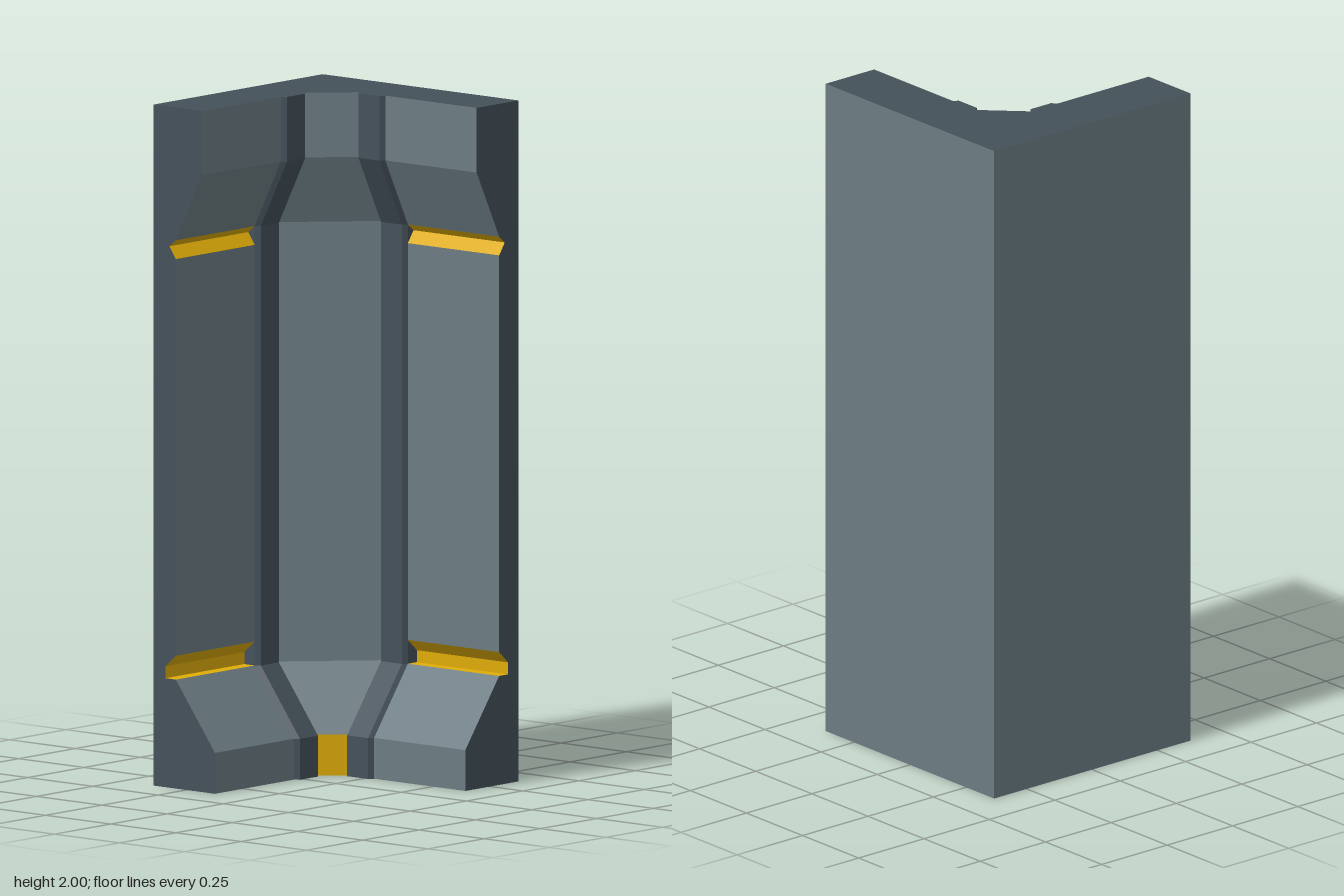
import * as THREE from 'three';

const H = 0.375, TOP = 2, RAISE = 0.015;

// Wall profiles: [depth from the room axis, height, accent flag for the segment ending here]
const plainProfile = [[0.14, 0], [0.14, 0.12], [0.29, 0.32], [0.29, 1.61], [0.19, 1.81], [0.19, TOP]];
const cornerProfile = plainProfile.map(([d, y], i) => [d, y, i === 1]);
const lowerGroove = [[0.29, 0.32], [0.33, 0.32, true], [0.33, 0.355, true], [0.29, 0.39, true]];
const upperGroove = [[0.29, 1.555], [0.315, 1.59, true], [0.29, 1.61, true]];
const panelProfile = [...plainProfile.slice(0, 2), ...lowerGroove, ...upperGroove, ...plainProfile.slice(4)];

// Plan of the inner face at depth d, from the back arm's end to the right arm's end
const plan = (d) => [
  [-H, -d], [-0.025, -d], [-0.015, -d + RAISE], [0.065, -d + RAISE], [0.075, -d],
  [d, -0.075], [d - RAISE, -0.065], [d - RAISE, 0.015], [d, 0.025], [d, H],
];

// Sweeps a profile between plan points i and i + 1, keeping only the chosen segments
function strip(i, profile, accent) {
  const pos = [];
  for (let k = 1; k < profile.length; k++) {
    if (Boolean(profile[k][2]) !== accent) continue;
    const [d0, y0] = profile[k - 1], [d1, y1] = profile[k];
    const at = (j, d, y) => { const [x, z] = plan(d)[j]; return [x, y, z]; };
    const a = at(i, d0, y0), b = at(i + 1, d0, y0), c = at(i + 1, d1, y1), e = at(i, d1, y1);
    pos.push(...a, ...b, ...c, ...a, ...c, ...e);
  }
  const geo = new THREE.BufferGeometry();
  geo.setAttribute('position', new THREE.Float32BufferAttribute(pos, 3));
  geo.computeVertexNormals();
  return geo;
}

const flat = (pts) => new THREE.ShapeGeometry(new THREE.Shape(pts.map(([x, y]) => new THREE.Vector2(x, y))));

// Flat cross-section facing +z (right arm) or -x (back arm)
const rightCap = (pts, z) => flat(pts).translate(0, 0, z);
const backCap = (pts, x) => flat(pts.map(([d, y]) => [-d, y])).rotateY(-Math.PI / 2).translate(x, 0, 0);

export function createModel() {
  const group = new THREE.Group();
  const paint = (name, color) => {
    const m = new THREE.MeshStandardMaterial({ color });
    m.name = name;
    return m;
  };
  const slate = paint('slate panel', 0x6c7d84);
  const dark = paint('dark slate', 0x44515a);
  const yellow = paint('yellow trim', 0xdfac08);
  const add = (name, geo, mat) => {
    const mesh = new THREE.Mesh(geo, mat);
    mesh.name = name;
    group.add(mesh);
  };

  // Grooved panels of both arms with their yellow grooves
  for (const [i, side] of [[0, 'back'], [8, 'right']]) {
    add(side + 'Panel', strip(i, panelProfile, false), slate);
    add(side + 'GrooveTrim', strip(i, panelProfile, true), yellow);
  }

  // Diagonal corner with a yellow foot
  add('cornerPanel', strip(4, cornerProfile, false), slate);
  add('cornerFoot', strip(4, cornerProfile, true), yellow);

  // Raised ribs beside the corner: flank, face, flank
  for (const [start, side] of [[1, 'back'], [5, 'right']])
    for (let k = 0; k < 3; k++)
      add(side + (k === 1 ? 'RibFace' : 'RibFlank'), strip(start + k, plainProfile, false), dark);

  // Rib sides seen inside the grooves
  for (const groove of [lowerGroove, upperGroove]) {
    add('backGrooveEnd', backCap(groove, -0.025), dark);
    add('rightGrooveEnd', rightCap(groove, 0.025), dark);
  }

  // End faces of the arms
  const section = [...panelProfile, [H, TOP], [H, 0]];
  add('backArmEnd', backCap(section, -H), dark);
  add('rightArmEnd', rightCap(section, H), dark);

  // Top and underside
  const outline = (d) => [...plan(d), [H, H], [H, -H], [-H, -H]];
  add('top', flat(outline(0.19).map(([x, z]) => [x, -z])).rotateX(-Math.PI / 2).translate(0, TOP, 0), dark);
  add('underside', flat(outline(0.14)).rotateX(Math.PI / 2), slate);

  // Plain outer faces
  const outer = () => new THREE.PlaneGeometry(2 * H, TOP).translate(0, TOP / 2, H);
  add('outerBack', outer().rotateY(Math.PI), slate);
  add('outerRight', outer().rotateY(Math.PI / 2), slate);

  return group;
}
